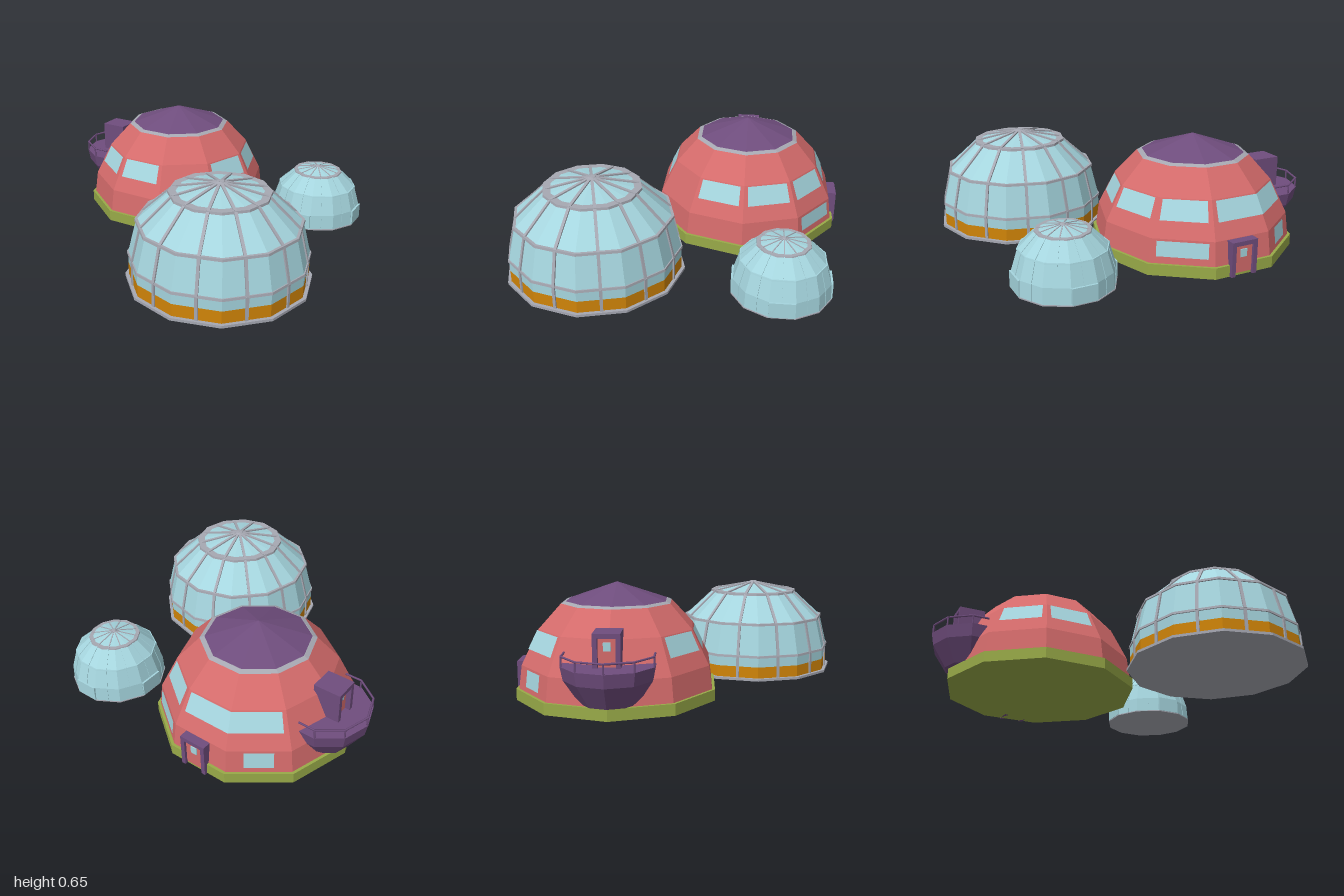
import * as THREE from 'three';

const D = Math.PI / 180;
const mat = (name, color) => { const m = new THREE.MeshStandardMaterial({ color }); m.name = name; return m; };

export function createModel() {
  const root = new THREE.Group();
  const red = mat('wall red', 0xd46b6b), purple = mat('plum', 0x6f4d7d), green = mat('base green', 0x98aa48);
  const glass = mat('glass blue', 0xa5d5de), grey = mat('frame grey', 0xa6a8b2), orange = mat('band orange', 0xd08408);

  const add = (parent, name, geo, m) => {
    const mesh = new THREE.Mesh(geo, m);
    mesh.name = name;
    parent.add(mesh);
    return mesh;
  };
  const group = (parent, name, x, y, z, ry = 0) => {
    const g = new THREE.Group();
    g.name = name;
    g.position.set(x, y, z);
    g.rotation.y = ry;
    parent.add(g);
    return g;
  };
  const faceted = (geo) => {
    const g = geo.index ? geo.toNonIndexed() : geo;
    g.computeVertexNormals();
    return g;
  };
  // one many-sided ring between two [radius, height] points
  const band = (parent, name, a, b, n, start, m, open = true) => {
    const g = new THREE.CylinderGeometry(b[0], a[0], b[1] - a[1], n, 1, open, start);
    return add(parent, name, faceted(g.translate(0, (a[1] + b[1]) / 2, 0)), m);
  };
  const stack = (parent, name, prof, n, start, m) => {
    for (let i = 0; i < prof.length - 1; i++) band(parent, name, prof[i], prof[i + 1], n, start, m);
  };
  const box = (parent, name, w, h, d, x, y, z, m) => {
    const b = add(parent, name, new THREE.BoxGeometry(w, h, d), m);
    b.position.set(x, y, z);
    return b;
  };
  const rod = (parent, name, a, b, r, m) => {
    const dir = b.clone().sub(a);
    const c = add(parent, name, new THREE.CylinderGeometry(r, r, dir.length(), 6), m);
    c.position.copy(a).add(b).multiplyScalar(0.5);
    c.quaternion.setFromUnitVectors(new THREE.Vector3(0, 1, 0), dir.normalize());
  };
  // straight ribs following a profile, repeated around the dome
  const ribs = (parent, prof, n, start, k, w, m) => {
    for (let i = 0; i < n; i++) {
      const g = group(parent, 'rib', 0, 0, 0, start + (i * 2 * Math.PI) / n);
      for (let j = 0; j < prof.length - 1; j++) {
        const [r0, y0] = prof[j], [r1, y1] = prof[j + 1];
        const a0 = r0 * k, a1 = r1 * k;
        const b = box(g, 'ribBar', w, Math.hypot(a1 - a0, y1 - y0), w, 0, (y0 + y1) / 2, (a0 + a1) / 2, m);
        b.rotation.x = Math.atan2(a1 - a0, y1 - y0);
      }
    }
  };

  // ---- house dome ----
  const house = group(root, 'house', -0.29, 0, -0.395);
  const S = 18 * D;
  band(house, 'foundation', [0.59, 0], [0.59, 0.065], 10, S, green, false);
  const wall = [[0.573, 0.065], [0.555, 0.2], [0.455, 0.4], [0.325, 0.54]];
  stack(house, 'wall', wall, 10, S, red);
  band(house, 'roofRing', [0.325, 0.54], [0.3, 0.551], 10, S, grey, false);
  band(house, 'roof', [0.297, 0.551], [0, 0.655], 10, S, purple, false);

  // window plates lying on the wall facets
  const apothem = (y) => {
    let i = 0;
    while (i < wall.length - 2 && y > wall[i + 1][1]) i++;
    const [r0, y0] = wall[i], [r1, y1] = wall[i + 1];
    return (r0 + ((r1 - r0) * (y - y0)) / (y1 - y0)) * Math.cos(S);
  };
  const windowPlate = (deg, y0, y1, l, r, lt = l, rt = r) => {
    const pts = [[l, y0], [r, y0], [rt, y1], [l === lt ? l : lt, y1]].map(([u, y]) => [u, y, apothem(y) + 0.005]);
    const g = new THREE.BufferGeometry();
    g.setAttribute('position', new THREE.Float32BufferAttribute(pts.flat(), 3));
    g.setIndex([0, 1, 2, 0, 2, 3]);
    g.computeVertexNormals();
    add(house, 'window', g, glass).rotation.y = deg * D;
  };
  for (const deg of [0, -36, 72, 108, 144]) windowPlate(deg, 0.29, 0.395, -0.13, 0.13, -0.12, 0.12);
  // wide window wrapping a corner
  const e0 = (apothem(0.29) + 0.005) * Math.tan(S), e1 = (apothem(0.395) + 0.005) * Math.tan(S);
  windowPlate(180, 0.29, 0.395, -0.13, e0, -0.12, e1);
  windowPlate(216, 0.29, 0.395, -e0, 0.13, -e1, 0.12);
  // lower windows
  windowPlate(216, 0.095, 0.19, -0.08, 0.08);
  windowPlate(144, 0.105, 0.19, -0.14, 0.14);

  // ---- doors with porch frames ----
  const doorway = (name, x, y, z, ry, w, h, d, face) => {
    const g = group(root, name, x, y, z, ry);
    for (const s of [-1, 1]) box(g, 'doorPost', 0.025, h, d, s * (w / 2 - 0.0125), h / 2, 0, purple);
    box(g, 'doorRoof', w, 0.025, d, 0, h - 0.0125, 0, purple);
    box(g, 'door', w - 0.05, h - 0.03, 0.06, 0, h / 2, face - 0.03, red);
    box(g, 'doorWindow', 0.04, 0.045, 0.006, 0, h * 0.64, face + 0.002, glass);
  };
  doorway('backDoor', -0.275, 0, -0.922, Math.PI, 0.16, 0.198, 0.106, 0.038);
  doorway('balconyDoor', -0.78, 0.25, -0.395, -Math.PI / 2, 0.145, 0.205, 0.16, 0.05);

  // ---- balcony ----
  const balcony = group(root, 'balcony', -0.74, 0, -0.395);
  band(balcony, 'balconyBowl', [0.16, 0.07], [0.245, 0.2], 10, S, purple, false);
  band(balcony, 'balconyRim', [0.245, 0.2], [0.26, 0.275], 10, S, purple, false);
  const rail = (deg, y) => new THREE.Vector3(0.253 * Math.sin(deg * D), y, 0.253 * Math.cos(deg * D));
  for (let i = -2; i <= 2; i++) {
    const deg = -90 + 36 * i;
    rod(balcony, 'railPost', rail(deg, 0.27), rail(deg, 0.33), 0.005, purple);
    if (i < 2) rod(balcony, 'handrail', rail(deg, 0.328), rail(deg + 36, 0.328), 0.006, purple);
  }
  for (const s of [-1, 1]) {
    const end = rail(-90 + 72 * s, 0.328);
    rod(balcony, 'handrail', end, new THREE.Vector3(0.02, 0.328, end.z), 0.006, purple);
  }

  // ---- large greenhouse dome ----
  const big = group(root, 'largeGreenhouse', 0.475, 0, 0.445);
  const bp = [[0.5, 0.015], [0.5, 0.15], [0.452, 0.345], [0.272, 0.51], [0, 0.565]];
  band(big, 'floorSlab', [0.52, 0], [0.52, 0.015], 12, 0, grey, false);
  band(big, 'orangeBand', bp[0], [0.5, 0.085], 12, 0, orange);
  stack(big, 'glassPanels', [[0.5, 0.085], ...bp.slice(1)], 12, 0, glass);
  ribs(big, bp, 12, 15 * D, Math.cos(15 * D), 0.017, grey);
  for (const [r, y] of [[0.507, 0.15], [0.462, 0.345], [0.283, 0.51]])
    band(big, 'frameRing', [r, y - 0.007], [r - 0.002, y + 0.007], 12, 0, grey, false);
  band(big, 'topCap', [0.035, 0.558], [0.02, 0.573], 12, 0, grey, false);

  // ---- small greenhouse dome ----
  const small = group(root, 'smallGreenhouse', 0.62, 0, -0.625);
  const T = 15 * D;
  const sp = [[0.28, 0.006], [0.275, 0.095], [0.24, 0.21], [0.148, 0.3], [0, 0.33]];
  band(small, 'floorSlab', [0.284, 0], [0.284, 0.006], 12, T, grey, false);
  stack(small, 'glassPanels', sp, 12, T, glass);
  ribs(small, sp.slice(0, 4), 12, 0, Math.cos(T), 0.006, glass);
  ribs(small, sp.slice(3), 12, 0, Math.cos(T), 0.006, grey);
  band(small, 'frameRing', [0.245, 0.205], [0.243, 0.213], 12, T, glass, false);
  band(small, 'topRing', [0.153, 0.297], [0.151, 0.304], 12, T, grey, false);
  band(small, 'topCap', [0.018, 0.326], [0.01, 0.335], 12, T, grey, false);
  for (let i = 0; i < 4; i++)
    box(group(small, 'sidePanel', 0, 0, 0, i * Math.PI / 2), 'panel', 0.14, 0.09, 0.04, 0, 0.051, 0.257, glass);

  return root;
}
